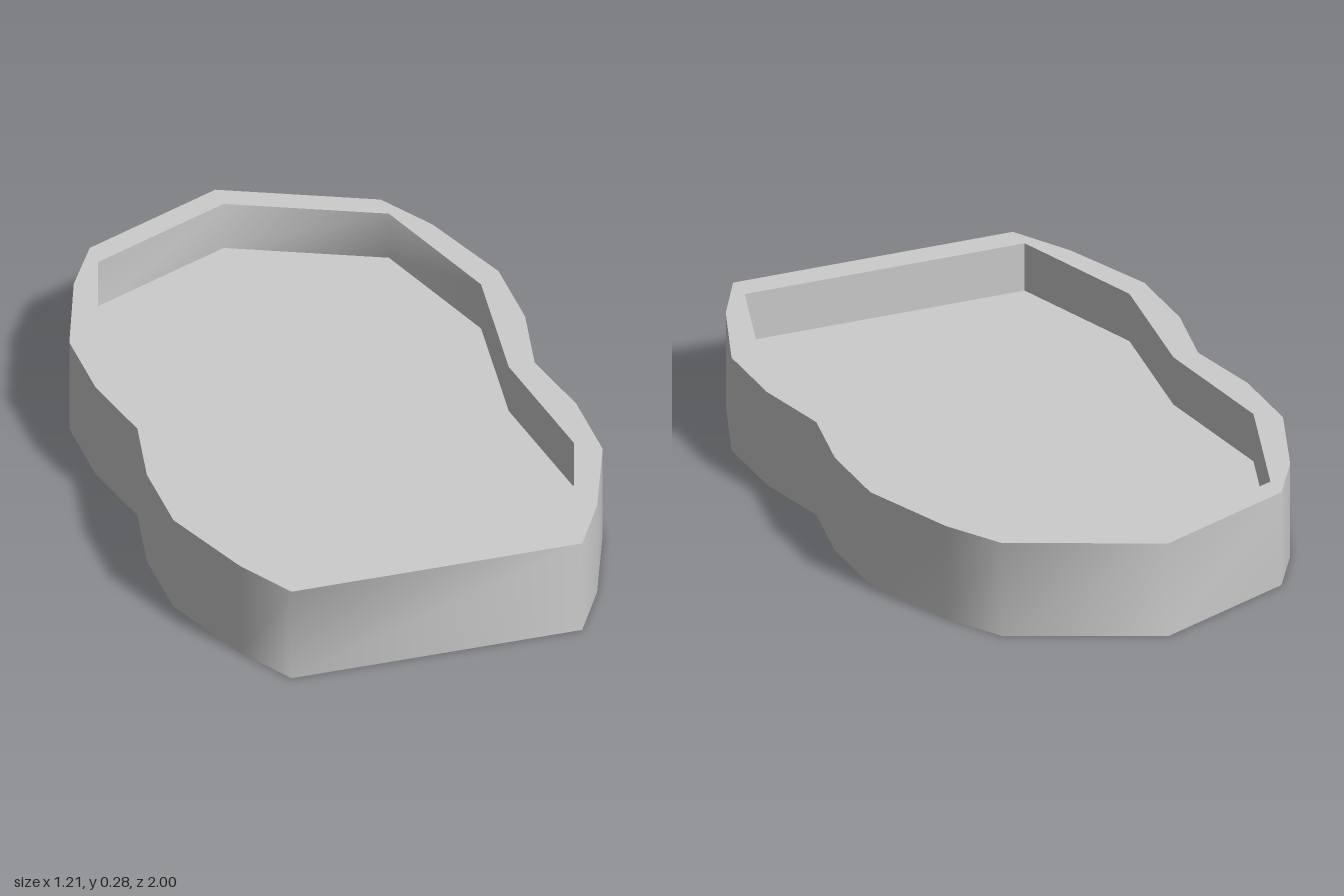
import * as THREE from 'three';
import { toCreasedNormals } from 'three/addons/utils/BufferGeometryUtils.js';

const HEIGHT = 0.275, FLOOR = 0.135;

// Right-hand half outlines as [x, z], from the front corner to the rear point
const OUTER = [[0.41, 1], [0.505, 0.83], [0.605, 0.56], [0.605, 0.32], [0.56, 0.09],
  [0.605, -0.14], [0.605, -0.38], [0.505, -0.66], [0.41, -0.82], [0, -1]];
const INNER = [[0.41, 0.92], [0.54, 0.51], [0.487, 0.09], [0.54, -0.33], [0.41, -0.745], [0, -0.925]];

// Mirror a half outline into a closed, counter-clockwise loop (shape y = -z)
function outline(half) {
  const mirrored = half.slice(0, -1).reverse().map(([x, z]) => [-x, z]);
  return [...half, ...mirrored].map(([x, z]) => new THREE.Vector2(x, -z));
}

// Horizontal surface at height y, facing up
function flat(points, y, hole) {
  const shape = new THREE.Shape(points);
  if (hole) shape.holes.push(new THREE.Path(hole));
  return new THREE.ShapeGeometry(shape).rotateX(-Math.PI / 2).translate(0, y, 0);
}

// Vertical band along a loop, facing outward for a counter-clockwise loop
function wall(points, y0, y1) {
  const pos = [];
  points.forEach((a, i) => {
    const b = points[(i + 1) % points.length];
    const p = [[a, y0], [b, y0], [b, y1], [a, y1]];
    for (const k of [0, 1, 2, 0, 2, 3]) pos.push(p[k][0].x, p[k][1], -p[k][0].y);
  });
  const geometry = new THREE.BufferGeometry();
  geometry.setAttribute('position', new THREE.Float32BufferAttribute(pos, 3));
  return toCreasedNormals(geometry, 1.15);
}

export function createModel() {
  const group = new THREE.Group();
  group.name = 'tray';
  const material = new THREE.MeshStandardMaterial({ color: 0xcccccc });
  const add = (name, geometry) => {
    const mesh = new THREE.Mesh(geometry, material);
    mesh.name = name;
    group.add(mesh);
    return mesh;
  };
  const outer = outline(OUTER), inner = outline(INNER);

  add('outerWall', wall(outer, 0, HEIGHT));
  add('rim', flat(outer, HEIGHT, inner));
  // Reversed loop turns the recess walls inward
  add('innerWall', wall([...inner].reverse(), FLOOR, HEIGHT));
  add('recessFloor', flat(inner, FLOOR));
  // The outline is symmetric, so a half turn about z faces it down
  add('underside', flat(outer, 0).rotateZ(Math.PI));
  return group;
}
